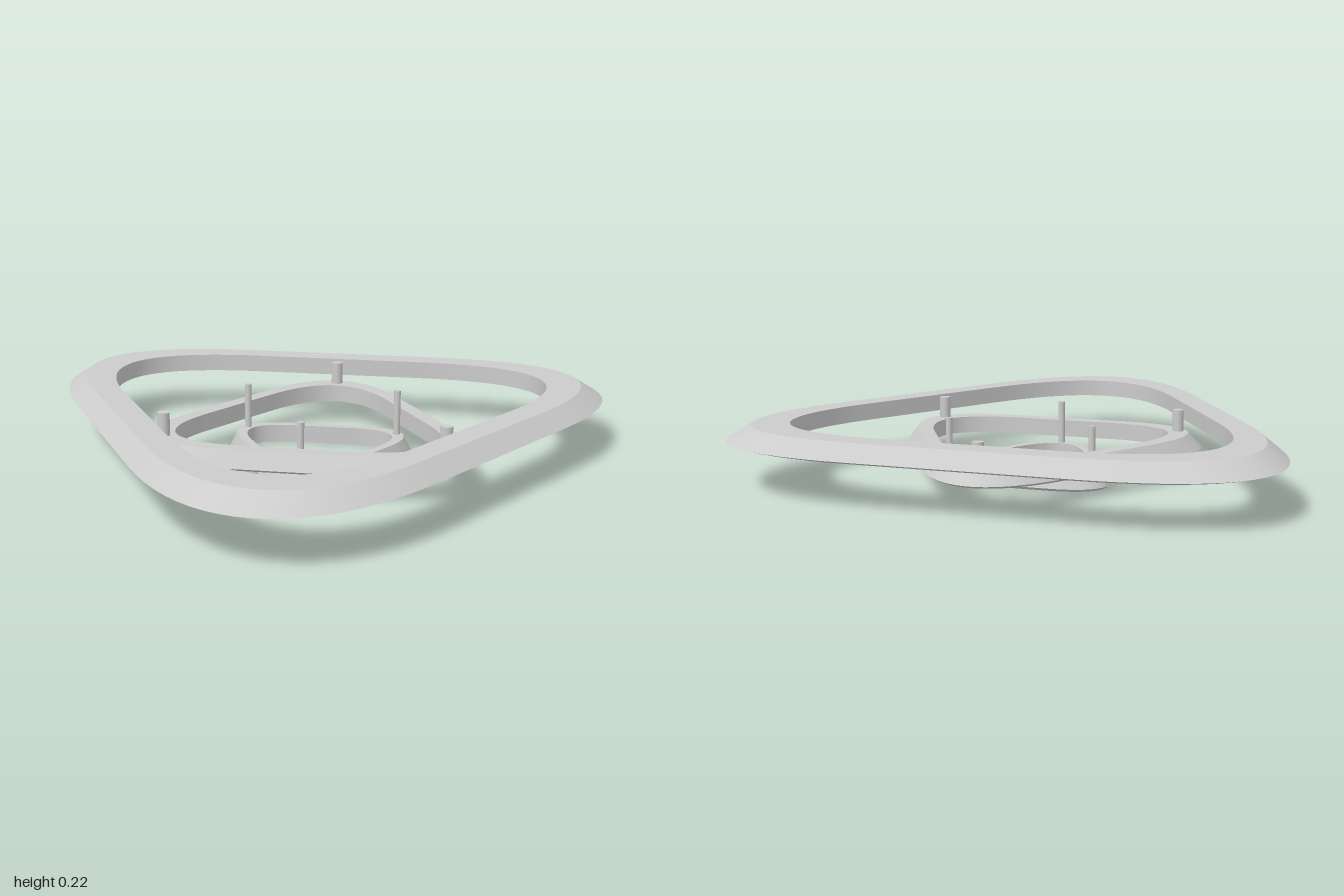
import * as THREE from 'three';
import { mergeGeometries } from 'three/addons/utils/BufferGeometryUtils.js';

const INRADIUS = 0.763, CORNER = 0.935, HANDLE = 0.635; // rounded triangle
const CENTRE_Z = 0.167, STEP = 0.573;                   // each ring is STEP times the one above
const THICK = 0.063, PITCH = 0.08, TOP = 0.223;

// Rounded triangle around the origin as (x, z) points, one corner towards -z
function outline() {
  const corners = [0, 1, 2].map((k) => {
    const a = Math.PI + (k * 2 * Math.PI) / 3;
    return new THREE.Vector2(Math.sin(a), Math.cos(a)).multiplyScalar(2 * INRADIUS);
  });
  const points = [];
  corners.forEach((v, k) => {
    const before = corners[(k + 2) % 3].clone().sub(v).normalize();
    const after = corners[(k + 1) % 3].clone().sub(v).normalize();
    const at = (dir, d) => v.clone().addScaledVector(dir, d);
    const near = CORNER * (1 - HANDLE);
    points.push(...new THREE.CubicBezierCurve(
      at(before, CORNER), at(before, near), at(after, near), at(after, CORNER)
    ).getPoints(20));
  });
  return points;
}

// Ring whose section is a closed list of [outline scale, height]; section edges stay sharp
function ringGeometry(loop, section) {
  const n = loop.length;
  const bands = section.map(([s0, y0], j) => {
    const [s1, y1] = section[(j + 1) % section.length];
    const position = [], index = [];
    for (let i = 0; i <= n; i++) {
      const p = loop[i % n];
      position.push(p.x * s0, y0, p.y * s0, p.x * s1, y1, p.y * s1);
      if (i < n) {
        const a = i * 2;
        index.push(a, a + 2, a + 3, a, a + 3, a + 1);
      }
    }
    const g = new THREE.BufferGeometry();
    g.setAttribute('position', new THREE.Float32BufferAttribute(position, 3));
    g.setIndex(index);
    g.computeVertexNormals();
    return g;
  });
  return mergeGeometries(bands);
}

export function createModel() {
  const model = new THREE.Group();
  model.name = 'tieredTriangleRings';
  const material = new THREE.MeshStandardMaterial({ color: 0xcccccc });
  const loop = outline();

  // Bevelled section: slight undercut, sloping outside, flat top, upright inside
  const section = [[0.97, 0], [1, 0.009], [0.92, THICK], [0.797, THICK], [0.797, 0]];

  ['largeRing', 'middleRing', 'smallRing'].forEach((name, tier) => {
    const size = STEP ** tier;
    const y = (2 - tier) * PITCH;
    const group = new THREE.Group();
    group.name = name + 'Tier';
    group.position.set(0, y, CENTRE_Z);
    group.rotation.y = tier * Math.PI; // alternate tiers point the other way
    model.add(group);

    const ring = new THREE.Mesh(ringGeometry(loop, section), material);
    ring.name = name;
    ring.scale.set(size, 1, size);
    group.add(ring);

    // Hanging pins at the corners of the two lower rings
    if (tier === 0) return;
    const base = THICK - 0.02, height = TOP - y - base;
    for (let k = 0; k < 3; k++) {
      const a = Math.PI + (k * 2 * Math.PI) / 3;
      const pin = new THREE.Mesh(
        new THREE.CylinderGeometry(0.036 * size, 0.036 * size, height, 20), material);
      pin.name = name + 'Pin';
      pin.position.set(Math.sin(a) * 0.955 * size, base + height / 2, Math.cos(a) * 0.955 * size);
      group.add(pin);
    }
  });
  return model;
}
